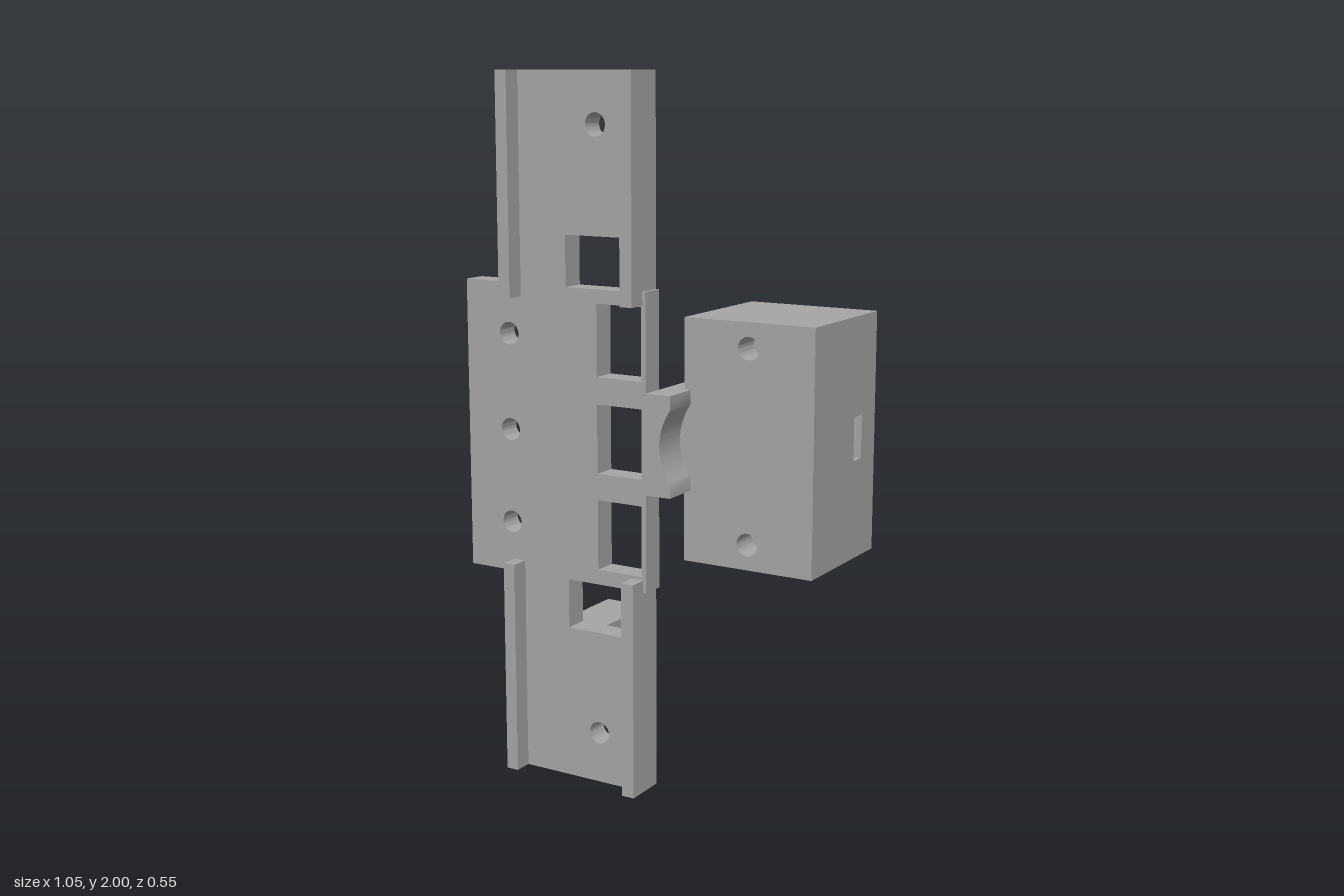
import * as THREE from 'three';
import { toCreasedNormals } from 'three/addons/utils/BufferGeometryUtils.js';

const HOLE_R = 0.032;

// closed shape from corner points
const poly = (pts) => new THREE.Shape(pts.map(([x, y]) => new THREE.Vector2(x, y)));
const rect = (x0, x1, y0, y1) => poly([[x0, y0], [x1, y0], [x1, y1], [x0, y1]]);
const circle = (x, y) => new THREE.Path().absarc(x, y, HOLE_R, 0, Math.PI * 2, true);

export function createModel() {
  const root = new THREE.Group();
  root.name = 'mountingBracket';
  const grey = new THREE.MeshStandardMaterial({ color: 0xa6a6a6 });
  grey.name = 'grey plastic';

  // one slab of a part: a shape with holes, extruded from z0 to z1
  function slab(parent, name, shape, z0, z1, holes = []) {
    shape.holes.push(...holes);
    const geo = new THREE.ExtrudeGeometry(shape, { depth: z1 - z0, bevelEnabled: false, curveSegments: 24 });
    geo.translate(0, 0, z0);
    const mesh = new THREE.Mesh(toCreasedNormals(geo, 0.6), grey);
    mesh.name = name;
    parent.add(mesh);
  }
  function group(name) {
    const g = new THREE.Group();
    g.name = name;
    root.add(g);
    return g;
  }

  // back plate: cross outline, windows and screw holes
  const outline = () => poly([
    [-0.375, 0], [0.06, 0], [0.06, 0.585], [0.07, 0.585], [0.07, 1.42], [0.06, 1.42],
    [0.06, 2], [-0.375, 2], [-0.375, 1.42], [-0.525, 1.42], [-0.525, 0.585], [-0.375, 0.585],
  ]);
  const sideHoleY = [0.73, 1.0, 1.275];
  const openings = () => [
    rect(-0.187, 0.01, 0.445, 0.587), rect(-0.187, 0.01, 1.417, 1.56),
    rect(-0.087, 0.056, 0.63, 0.83), rect(-0.087, 0.056, 0.905, 1.1), rect(-0.087, 0.056, 1.176, 1.378),
    circle(-0.087, 0.147), circle(-0.087, 1.857),
    ...sideHoleY.map((y) => circle(-0.38, y)),
  ];
  // shallow pockets open only to the back
  const pockets = [
    rect(-0.21, 0.03, 0.035, 0.075), rect(-0.21, 0.03, 1.925, 1.965),
    ...sideHoleY.map((y) => rect(-0.495, -0.445, y - 0.11, y + 0.11)),
  ];
  const plate = group('plate');
  slab(plate, 'plateFront', outline(), 0.185, 0.22, openings());
  slab(plate, 'plateBack', outline(), 0.15, 0.185, [...openings(), ...pockets]);

  // guide rails along the edges of the upper and lower ends
  const rails = group('rails');
  for (const [y0, y1] of [[0, 0.62], [1.382, 2]])
    for (const [x0, x1] of [[-0.375, -0.338], [0.022, 0.06]])
      slab(rails, 'rail', rect(x0, x1, y0, y1), 0.15, 0.273);

  // rear legs, each with a screw hole and a nut slot on its outer side
  for (const [name, yc, s] of [['upperLeg', 1.722, 1], ['lowerLeg', 0.283, -1]]) {
    const leg = group(name);
    const section = () => rect(-0.375, -0.232, yc - 0.087, yc + 0.087);
    const hole = () => [circle(-0.303, yc)];
    const out = yc + s * 0.087, inn = yc - s * 0.087, floor = yc - s * 0.06;
    slab(leg, 'legEnd', section(), -0.273, -0.19, hole());
    slab(leg, 'legNutSlot', poly([
      [-0.375, inn], [-0.232, inn], [-0.232, out], [-0.243, out],
      [-0.243, floor], [-0.362, floor], [-0.362, out], [-0.375, out],
    ]), -0.19, -0.143);
    slab(leg, 'legBore', section(), -0.143, -0.08, hole());
    slab(leg, 'legRoot', section(), -0.08, 0.15);
  }

  // block with one rear and two front screw holes, nut slots on the sides
  const X0 = 0.126, X1 = 0.521, Y0 = 0.662, Y1 = 1.344, XC = 0.324;
  const block = group('block');
  const body = () => rect(X0, X1, Y0, Y1);
  const rearHole = () => [circle(XC, 1.003)];
  const frontHoles = () => [circle(XC, 0.733), circle(XC, 1.273)];
  slab(block, 'blockRear', body(), -0.273, -0.187, rearHole());
  slab(block, 'blockLeftSlot', poly([
    [X0, Y0], [X1, Y0], [X1, 0.942], [0.262, 0.942], [0.262, 1.065], [X1, 1.065], [X1, Y1], [X0, Y1],
  ]), -0.187, -0.138);
  slab(block, 'blockRearBore', body(), -0.138, -0.08, rearHole());
  slab(block, 'blockFrontBore', body(), -0.08, -0.03, frontHoles());
  slab(block, 'blockRightSlots', poly([
    [X0, Y0], [X1, Y0], [X1, Y1], [X0, Y1],
    [X0, 1.335], [0.386, 1.335], [0.386, 1.211], [X0, 1.211],
    [X0, 0.795], [0.386, 0.795], [0.386, 0.671], [X0, 0.671],
  ]), -0.03, 0.02);
  slab(block, 'blockFront', body(), 0.02, 0.11, frontHoles());

  // arm joining the plate to the block, with a curved thumb notch in front
  const arm = group('arm');
  slab(arm, 'armBeam', rect(0.07, X0, 0.863, 1.145), -0.273, 0.11);
  const tip = new THREE.Shape();
  tip.moveTo(0.07, 0.863);
  tip.lineTo(0.146, 0.863);
  tip.lineTo(0.146, 0.9);
  tip.quadraticCurveTo(0.079, 1.003, 0.146, 1.106);
  tip.lineTo(0.146, 1.145);
  tip.lineTo(0.07, 1.145);
  slab(arm, 'armTip', tip, 0.11, 0.22);

  return root;
}
